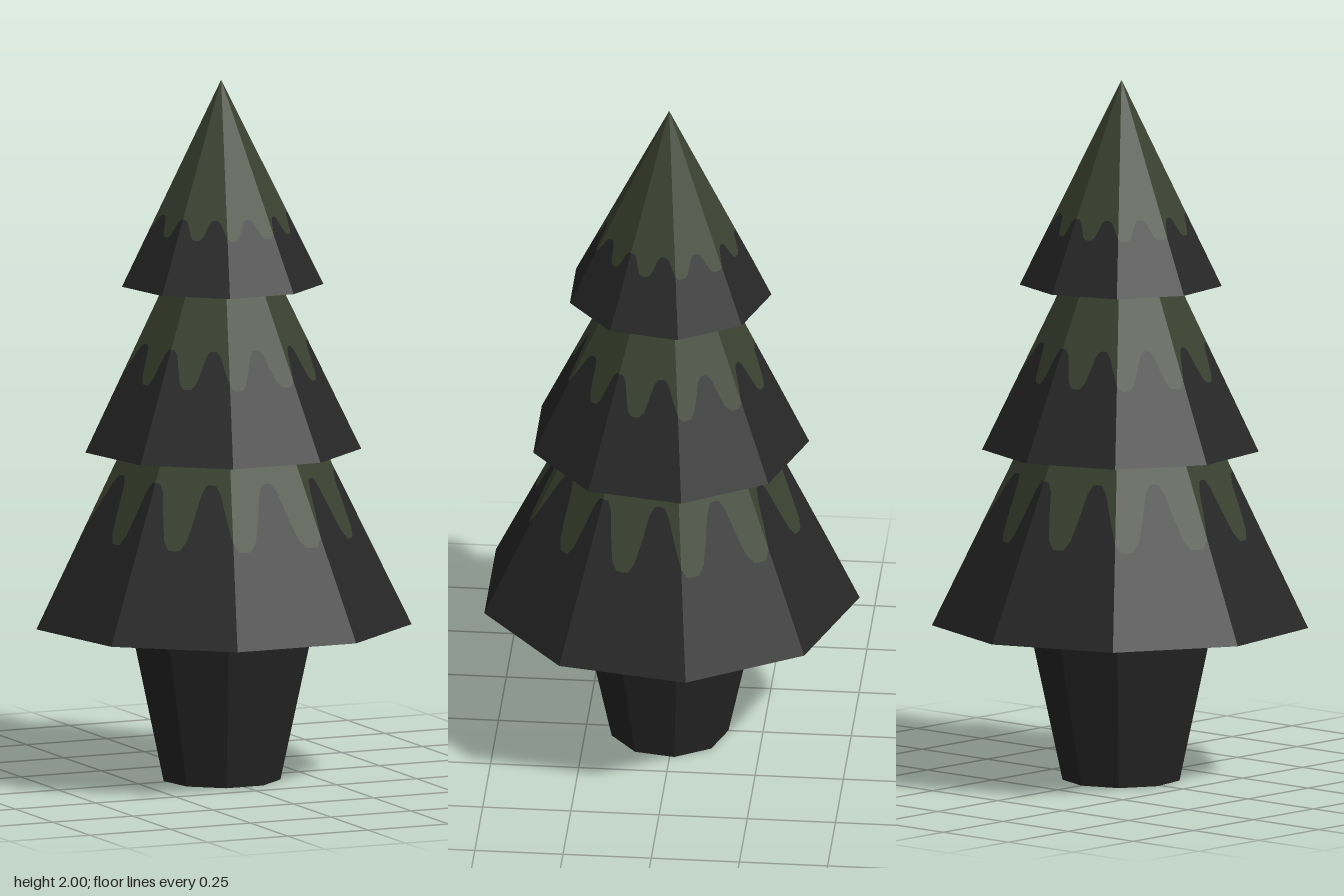
import * as THREE from 'three';

const SIDES = 9, SUB = 16, LOBES = 12;
const FACE = (Math.PI * 2) / SIDES;
const CENTRE_Z = 0.016;

// Point on the nine-sided outline; a face is centred on +z, a corner on -z
function outline(angle, radius, y) {
  const local = angle - Math.round(angle / FACE) * FACE;
  const r = (radius * Math.cos(FACE / 2)) / Math.cos(local);
  return [r * Math.sin(angle), y, r * Math.cos(angle)];
}

// Skin between two height rules on a tapering tier
function band(tier, upper, lower) {
  const at = (a, y) => {
    const t = (y - tier.y0) / (tier.y1 - tier.y0);
    return outline(a, tier.r0 + (tier.r1 - tier.r0) * t, y);
  };
  const pos = [], n = SIDES * SUB;
  for (let i = 0; i < n; i++) {
    const a = ((i - SUB / 2) * FACE) / SUB, b = ((i + 1 - SUB / 2) * FACE) / SUB;
    const ua = at(a, upper(a)), ub = at(b, upper(b));
    const la = at(a, lower(a)), lb = at(b, lower(b));
    pos.push(...ua, ...la, ...lb);
    if (Math.hypot(ua[0] - ub[0], ua[2] - ub[2]) > 1e-6) pos.push(...ua, ...lb, ...ub);
  }
  const geo = new THREE.BufferGeometry();
  geo.setAttribute('position', new THREE.Float32BufferAttribute(pos, 3));
  geo.computeVertexNormals();
  return geo;
}

export function createModel() {
  const model = new THREE.Group();
  model.name = 'tree';
  const make = (name, color) => {
    const m = new THREE.MeshStandardMaterial({ color, flatShading: true });
    m.name = name;
    return m;
  };
  const green = make('mossGreen', 0x3a412f);
  const dark = make('darkFoliage', 0x262627);
  const bark = make('darkBark', 0x252525);

  const add = (parent, name, geo, mat) => {
    const mesh = new THREE.Mesh(geo, mat);
    mesh.name = name;
    parent.add(mesh);
    return mesh;
  };

  // Trunk, narrower at the foot
  const trunk = add(model, 'trunk',
    new THREE.CylinderGeometry(0.264, 0.168, 0.45, SIDES, 1, false, Math.PI), bark);
  trunk.position.set(0, 0.225, CENTRE_Z);

  // Foliage tiers: green top with drips running into the dark skirt
  const tiers = [
    { name: 'lowerTier', y0: 0.45, r0: 0.54, y1: 0.95, r1: 0.293, tip: 0.71, notch: 0.89 },
    { name: 'middleTier', y0: 0.95, r0: 0.397, y1: 1.42, r1: 0.167, tip: 1.155, notch: 1.26 },
    { name: 'topTier', y0: 1.42, r0: 0.29, y1: 2, r1: 0, tip: 1.57, notch: 1.625 },
  ];
  for (const t of tiers) {
    const group = new THREE.Group();
    group.name = t.name;
    group.position.z = CENTRE_Z;
    const drip = (a) => {
      const w = Math.sin((Math.PI / 2) * Math.cos(a * LOBES));
      return (t.tip + t.notch) / 2 + (w * (t.notch - t.tip)) / 2;
    };
    add(group, t.name + 'Green', band(t, () => t.y1, drip), green);
    add(group, t.name + 'Skirt', band(t, drip, () => t.y0), dark);

    // Flat underside
    const under = add(group, t.name + 'Underside',
      new THREE.CircleGeometry(t.r0, SIDES, Math.PI / 2), dark);
    under.rotation.x = Math.PI / 2;
    under.scale.y = -1;
    under.geometry.scale(1, 1, 1);
    under.scale.y = 1;
    under.rotation.z = Math.PI;
    under.position.y = t.y0;
    model.add(group);
  }
  return model;
}
